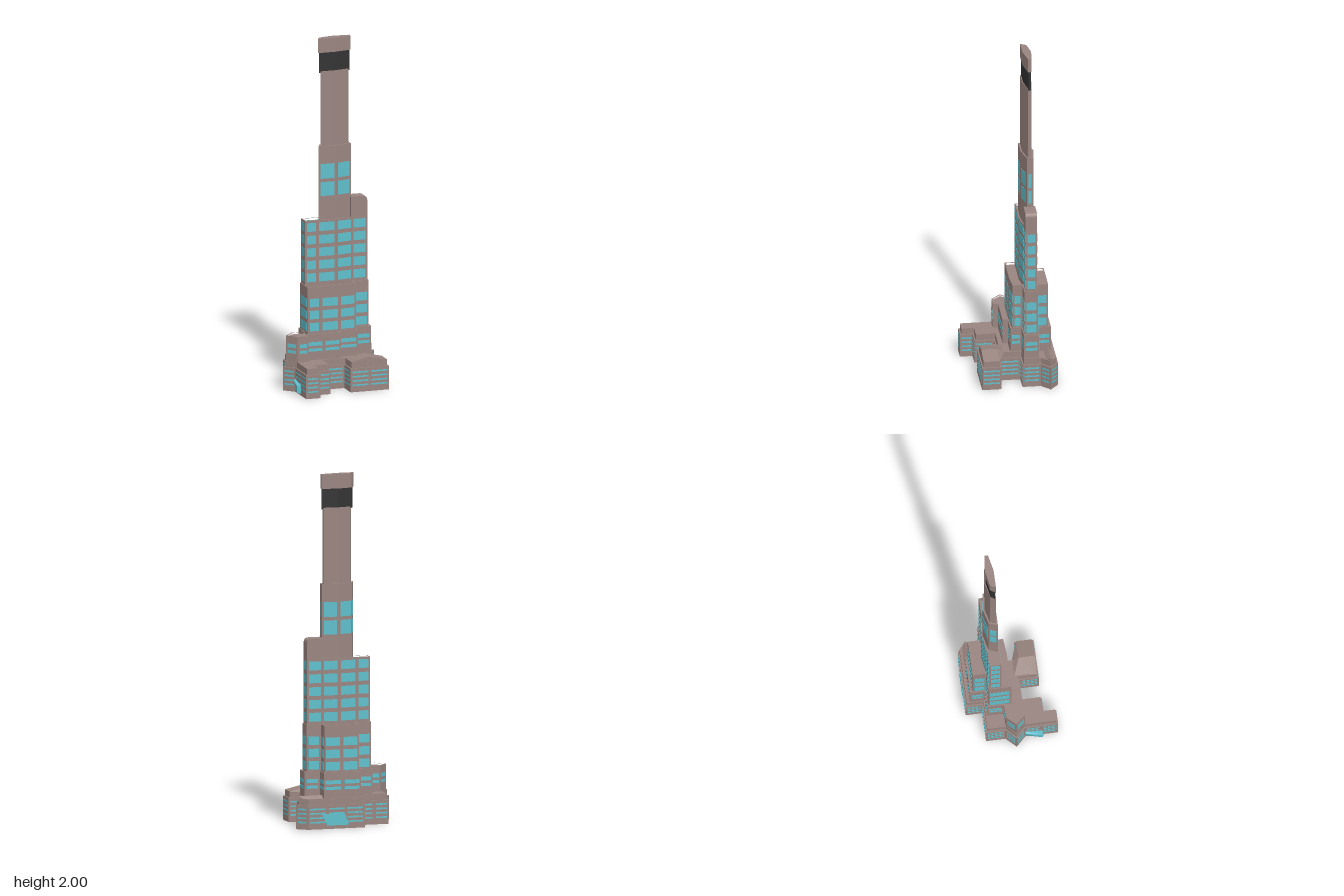
import * as THREE from 'three';
import { mergeGeometries } from 'three/addons/utils/BufferGeometryUtils.js';
import { ConvexGeometry } from 'three/addons/geometries/ConvexGeometry.js';

const stone = new THREE.MeshStandardMaterial({ color: 0x998580, flatShading: true });
const glass = new THREE.MeshStandardMaterial({ color: 0x5fbfcc, flatShading: true });
const dark = new THREE.MeshStandardMaterial({ color: 0x333333, flatShading: true });

// Plans are [x, z] corners, clockwise seen from above.
const basePlan = [
  [-0.083, -0.252], [0.25, -0.252], [0.307, -0.205], [0.255, -0.155], [0.255, -0.05], [0.157, -0.05],
  [0.157, 0.07], [0.267, 0.07], [0.267, 0.18], [0.037, 0.18], [0.037, 0.07], [-0.083, 0.07], [-0.083, 0.18],
  [-0.168, 0.18], [-0.168, 0.252], [-0.252, 0.252], [-0.252, 0.065], [-0.308, 0.01], [-0.252, -0.047],
  [-0.252, -0.158], [-0.083, -0.158],
];
const lowerPlan = [
  [-0.07, -0.225], [0.15, -0.225], [0.15, -0.147], [0.24, -0.147], [0.24, -0.06], [0.14, -0.06], [0.14, 0.005],
  [0.03, 0.005], [0.03, 0.035], [-0.175, 0.035], [-0.175, 0.065], [-0.24, 0.065], [-0.29, 0.01],
  [-0.24, -0.043], [-0.163, -0.047], [-0.163, -0.14], [-0.07, -0.14],
];
const middlePlan = [
  [-0.062, -0.21], [0.143, -0.21], [0.143, -0.143], [0.227, -0.143], [0.227, -0.065], [0.133, -0.065],
  [0.133, -0.01], [0.032, -0.001], [-0.08, -0.001], [-0.158, -0.001], [-0.158, -0.132], [-0.062, -0.132],
];
const upperPlan = [
  [-0.153, -0.127], [-0.075, -0.127], [0.035, -0.145], [0.133, -0.135], [0.133, -0.074],
  [0.032, -0.057], [-0.08, -0.057], [-0.153, -0.057],
];
const shaftPlan = [[-0.05, -0.117], [0.035, -0.14], [0.13, -0.128], [0.13, -0.09], [0.035, -0.066], [-0.07, -0.066]];
const capPlan = [[-0.05, -0.11], [0.035, -0.127], [0.13, -0.117], [0.13, -0.097], [0.035, -0.077], [-0.07, -0.077]];

// Moves every wall of a plan inward by d
function inset(plan, d) {
  const n = plan.length;
  return plan.map((p, i) => {
    const a = plan[(i + n - 1) % n], b = plan[(i + 1) % n];
    const u = new THREE.Vector2(p[0] - a[0], p[1] - a[1]).normalize();
    const v = new THREE.Vector2(b[0] - p[0], b[1] - p[1]).normalize();
    const k = d / (1 + u.dot(v));
    return [p[0] - (u.y + v.y) * k, p[1] + (u.x + v.x) * k];
  });
}

const toPoints = (plan) => plan.map(([x, z]) => new THREE.Vector2(x, -z));

function prism(plan, y0, y1, hole) {
  const shape = new THREE.Shape(toPoints(plan));
  if (hole) shape.holes.push(new THREE.Path(toPoints(hole)));
  const g = new THREE.ExtrudeGeometry(shape, { depth: y1 - y0, bevelEnabled: false });
  return g.rotateX(-Math.PI / 2).translate(0, y0, 0);
}

function add(group, name, geometry, material) {
  const mesh = new THREE.Mesh(geometry, material);
  mesh.name = name;
  group.add(mesh);
}

// Solid tier with a low parapet around its roof
function tier(group, name, plan, y0, y1, rim = 0.01) {
  const top = y1 - rim;
  add(group, name, prism(plan, y0, top), stone);
  add(group, name + 'Parapet', prism(plan, top, y1, inset(plan, 0.008)), stone);
}

// Window panes on every wall of a plan; rows are [bottom, top] pairs
function windows(group, name, plan, rows, { minLength = 0.05, pitch = 0.1, depth = 0.003 } = {}) {
  const panes = [];
  plan.forEach(([ax, az], i) => {
    const [bx, bz] = plan[(i + 1) % plan.length];
    const dx = bx - ax, dz = bz - az, length = Math.hypot(dx, dz);
    if (length < minLength) return;
    const cols = Math.max(1, Math.round(length / pitch));
    const cell = length / cols;
    for (let c = 0; c < cols; c++) {
      const t = (c + 0.5) / cols;
      for (const [lo, hi] of rows) {
        const g = new THREE.BoxGeometry(cell - 0.02, hi - lo, depth);
        g.rotateY(Math.atan2(-dz, dx));
        panes.push(g.translate(ax + dx * t, (lo + hi) / 2, az + dz * t));
      }
    }
  });
  add(group, name, mergeGeometries(panes), glass);
}

const rowsOf = (count, first, step, height) =>
  Array.from({ length: count }, (_, i) => [first + i * step, first + i * step + height]);

const hull = (points) => new ConvexGeometry(points.map((p) => new THREE.Vector3(...p)));

export function createModel() {
  const model = new THREE.Group();
  model.name = 'skyscraper';

  // Podium
  tier(model, 'podium', basePlan, 0, 0.137, 0.004);
  tier(model, 'podiumAttic', inset(basePlan, 0.009), 0.13, 0.172, 0.004);
  windows(model, 'podiumWindows', basePlan, rowsOf(4, 0.035, 0.025, 0.009), { minLength: 0.07 });

  // Gabled roof of the front hall, hipped back into the podium
  add(model, 'hallRoof', hull([
    [0.046, 0.165, 0.04], [0.148, 0.165, 0.04], [0.046, 0.165, 0.171], [0.258, 0.165, 0.171],
    [0.258, 0.165, 0.079], [0.15, 0.197, 0.08], [0.15, 0.197, 0.171], [0.046, 0.172, 0.171],
    [0.258, 0.172, 0.171], [0.258, 0.172, 0.079],
  ]), stone);

  // Ridge roof of the pointed wing
  add(model, 'wingRoof', hull([
    [0.155, 0.165, -0.232], [0.155, 0.165, -0.18], [0.155, 0.188, -0.205], [0.26, 0.165, -0.23],
    [0.26, 0.165, -0.18], [0.29, 0.187, -0.205], [0.294, 0.165, -0.205],
  ]), stone);

  // Glass entrances on the left side and the back
  add(model, 'sideEntrance', hull([
    [-0.25, 0.01, 0.065], [-0.25, 0.075, 0.065], [-0.25, 0.01, 0.163], [-0.25, 0.06, 0.163],
    [-0.278, 0.02, 0.163], [-0.278, 0.06, 0.165], [-0.264, 0.07, 0.068],
  ]), glass);
  add(model, 'backEntrance', hull([
    [0.01, 0.02, -0.25], [0.14, 0.02, -0.25], [0.17, 0.085, -0.25], [0.035, 0.085, -0.25],
    [0.01, 0.02, -0.256], [0.14, 0.02, -0.256], [0.17, 0.085, -0.256], [0.035, 0.085, -0.256],
  ]), glass);

  // Stepped tiers of the tower
  tier(model, 'lowerTier', lowerPlan, 0.16, 0.317);
  windows(model, 'lowerWindows', lowerPlan, [[0.218, 0.235], [0.25, 0.272]]);

  tier(model, 'middleTier', middlePlan, 0.3, 0.582, 0.015);
  windows(model, 'middleWindows', middlePlan, rowsOf(3, 0.326, 0.07, 0.048));

  tier(model, 'upperTier', upperPlan, 0.56, 0.953, 0.015);
  windows(model, 'upperWindows', upperPlan, rowsOf(5, 0.598, 0.073, 0.05));

  // Side fin with a rounded outer corner
  const fin = new THREE.Shape();
  fin.moveTo(0.125, 0.56).lineTo(0.222, 0.56).lineTo(0.222, 1.045);
  fin.quadraticCurveTo(0.222, 1.07, 0.195, 1.07).lineTo(0.125, 1.07);
  const finGeometry = new THREE.ExtrudeGeometry(fin, { depth: 0.066, bevelEnabled: false, curveSegments: 5 });
  add(model, 'sideFin', finGeometry.translate(0, 0, -0.138), stone);
  const finPlan = [[0.13, -0.138], [0.222, -0.138], [0.222, -0.072], [0.13, -0.072]];
  windows(model, 'finWindows', finPlan, rowsOf(5, 0.598, 0.073, 0.05));

  // Shaft, dark neck and cap
  tier(model, 'lowerShaft', shaftPlan, 0.93, 1.377, 0.004);
  windows(model, 'shaftWindows', shaftPlan, [[1.09, 1.17], [1.19, 1.275]], { minLength: 0.03 });
  add(model, 'upperShaft', prism(inset(shaftPlan, 0.01), 1.36, 1.81), stone);
  add(model, 'neck', prism(inset(capPlan, 0.004), 1.8, 1.925), dark);
  add(model, 'cap', prism(capPlan, 1.918, 2), stone);

  return model;
}
